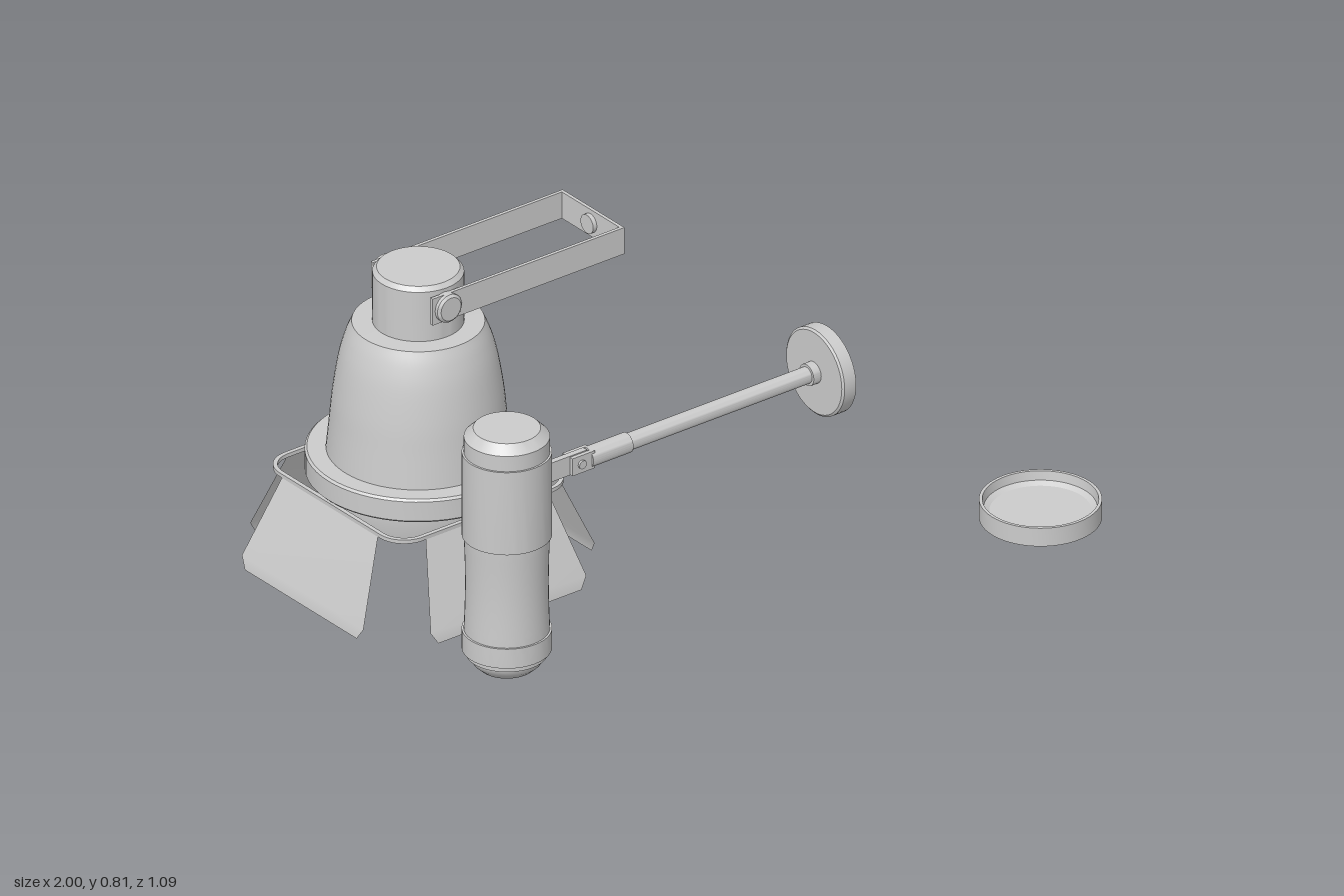
import * as THREE from 'three';
import { toCreasedNormals } from 'three/addons/utils/BufferGeometryUtils.js';

const grey = new THREE.MeshStandardMaterial({ color: 0xcccccc, side: THREE.DoubleSide });

function add(parent, name, geometry, x = 0, y = 0, z = 0) {
  const mesh = new THREE.Mesh(geometry, grey);
  mesh.name = name;
  mesh.position.set(x, y, z);
  parent.add(mesh);
  return mesh;
}

// Turned part: profile of [radius, height], sharp edges kept
function turned(profile, segments = 64) {
  const points = profile.map(([r, h]) => new THREE.Vector2(r, h));
  return toCreasedNormals(new THREE.LatheGeometry(points, segments), 0.5);
}

function roundedSquare(target, half, radius) {
  const k = half - radius;
  target.moveTo(k, -half);
  target.absarc(k, -k, radius, -Math.PI / 2, 0);
  target.absarc(k, k, radius, 0, Math.PI / 2);
  target.absarc(-k, k, radius, Math.PI / 2, Math.PI);
  target.absarc(-k, -k, radius, Math.PI, Math.PI * 1.5);
  target.closePath();
  return target;
}

// One barn door leaf, hanging outward, with a slight fold near the lower edge
function doorLeaf() {
  const rows = [[0.165, 0.212, 0.237], [0.21, 0.027, 0.312], [0.193, 0, 0.317]];
  const positions = [];
  for (const [w, y, z] of rows) positions.push(-w, y, z, w, y, z);
  const geometry = new THREE.BufferGeometry();
  geometry.setAttribute('position', new THREE.Float32BufferAttribute(positions, 3));
  geometry.setIndex([0, 2, 1, 1, 2, 3, 2, 4, 3, 3, 4, 5]);
  geometry.computeVertexNormals();
  return geometry;
}

function spotlight() {
  const lamp = new THREE.Group();
  lamp.name = 'spotlight';

  // Bell-shaped housing
  const bell = new THREE.SplineCurve([
    [0.197, 0.278], [0.19, 0.35], [0.183, 0.42], [0.17, 0.5], [0.156, 0.55], [0.142, 0.583],
  ].map(([r, h]) => new THREE.Vector2(r, h))).getPoints(24).map((p) => [p.x, p.y]);
  add(lamp, 'bellHousing', turned([...bell, [0.095, 0.584]]));
  add(lamp, 'neckCap', turned([[0.098, 0.575], [0.098, 0.703], [0.089, 0.713], [0, 0.713]]));

  // Front rim, lens and lens retainer
  add(lamp, 'rim', turned([
    [0.185, 0.222], [0.237, 0.222], [0.242, 0.227], [0.242, 0.273], [0.237, 0.278], [0.19, 0.278],
  ]));
  add(lamp, 'lensRetainer', turned([
    [0.19, 0.225], [0.19, 0.17], [0.215, 0.17], [0.222, 0.205], [0.222, 0.225],
  ]));
  add(lamp, 'lens', turned([[0, 0.214], [0.192, 0.222]]));

  // Barn doors on their rounded square frame
  const outline = roundedSquare(new THREE.Shape(), 0.239, 0.065);
  outline.holes.push(roundedSquare(new THREE.Path(), 0.229, 0.055));
  const frame = new THREE.ExtrudeGeometry(outline, { depth: 0.009, bevelEnabled: false, curveSegments: 10 });
  add(lamp, 'doorFrame', frame.rotateX(-Math.PI / 2), 0, 0.209, 0);
  for (let i = 0; i < 4; i++) {
    add(lamp, 'barnDoor', doorLeaf()).rotation.y = i * Math.PI / 2;
  }

  // Yoke with pivot knobs
  const yoke = new THREE.Group();
  yoke.name = 'yoke';
  yoke.position.y = 0.662;
  lamp.add(yoke);
  for (const s of [-1, 1]) {
    add(yoke, 'yokeArm', new THREE.BoxGeometry(0.008, 0.064, 0.517), s * 0.103, 0, -0.214);
    const knob = turned([[0.033, 0], [0.033, 0.018], [0.027, 0.023], [0, 0.023]], 24);
    add(yoke, 'pivotKnob', knob, s * 0.097, 0, 0.005).rotation.z = -s * Math.PI / 2;
  }
  add(yoke, 'yokeBar', new THREE.BoxGeometry(0.214, 0.064, 0.008), 0, 0, -0.469);
  const bolt = new THREE.CylinderGeometry(0.022, 0.022, 0.012, 24).rotateX(Math.PI / 2);
  add(yoke, 'yokeBolt', bolt, 0, 0, -0.461);
  return lamp;
}

function wallLamp() {
  const lamp = new THREE.Group();
  lamp.name = 'wallLamp';

  // Cylindrical head with collars and a gently waisted lower body
  const waist = [];
  for (let i = 0; i <= 10; i++) {
    const t = i / 10;
    waist.push([0.092 - 0.003 * Math.sin(Math.PI * t), 0.322 + 0.228 * t]);
  }
  add(lamp, 'lampHead', turned([
    [0.088, 0.262], [0.088, 0.275], [0.0965, 0.275], [0.0965, 0.322], ...waist,
    [0.0965, 0.55], [0.0965, 0.75], [0.092, 0.75], [0.092, 0.787], [0.072, 0.807], [0, 0.807],
  ], 48), 0, 0, 0.451);
  add(lamp, 'domeGlass', turned([
    [0, 0.222], [0.043, 0.224], [0.06, 0.231], [0.074, 0.244], [0.082, 0.257], [0.084, 0.27],
  ], 48), 0, 0, 0.451);

  // Hinge tongue between two fork cheeks
  add(lamp, 'hingeTongue', new THREE.BoxGeometry(0.014, 0.046, 0.14), 0, 0.662, 0.31);
  for (const s of [-1, 1]) {
    add(lamp, 'forkCheek', new THREE.BoxGeometry(0.009, 0.042, 0.06), s * 0.0125, 0.662, 0.257);
  }
  const pin = new THREE.CylinderGeometry(0.01, 0.01, 0.044, 16).rotateZ(Math.PI / 2);
  add(lamp, 'hingePin', pin, 0, 0.662, 0.262);

  // Arm and hollow wall plate, turned about the arm axis
  const arm = new THREE.Group();
  arm.name = 'arm';
  arm.position.y = 0.662;
  arm.rotation.x = -Math.PI / 2;
  lamp.add(arm);
  add(arm, 'armTube', turned([
    [0, -0.235], [0.023, -0.235], [0.023, -0.127], [0.019, -0.125], [0.019, 0.358],
    [0.025, 0.358], [0.025, 0.38],
  ], 32));
  add(arm, 'wallPlate', turned([
    [0, 0.378], [0.096, 0.378], [0.101, 0.382], [0.101, 0.413], [0.092, 0.413], [0.088, 0.388],
    [0.028, 0.388], [0.028, 0.402], [0.014, 0.402], [0.014, 0.386], [0, 0.386],
  ], 48));
  return lamp;
}

// Shallow filter ring with a recessed disc
function filterRing() {
  const group = new THREE.Group();
  group.name = 'filterRing';
  add(group, 'ring', turned([
    [0.113, 0.628], [0.12, 0.617], [0.131, 0.617], [0.131, 0.661], [0.124, 0.661],
    [0.121, 0.64], [0.109, 0.633],
  ]));
  add(group, 'filterDisc', turned([[0, 0.627], [0.115, 0.627], [0.115, 0.633], [0, 0.633]]));
  return group;
}

export function createModel() {
  const model = new THREE.Group();
  model.name = 'lampSet';
  const parts = [[spotlight(), -0.684, 0.054], [wallLamp(), 0.131, 0], [filterRing(), 0.868, -0.414]];
  for (const [part, x, z] of parts) {
    part.position.set(x, 0, z);
    model.add(part);
  }
  return model;
}
